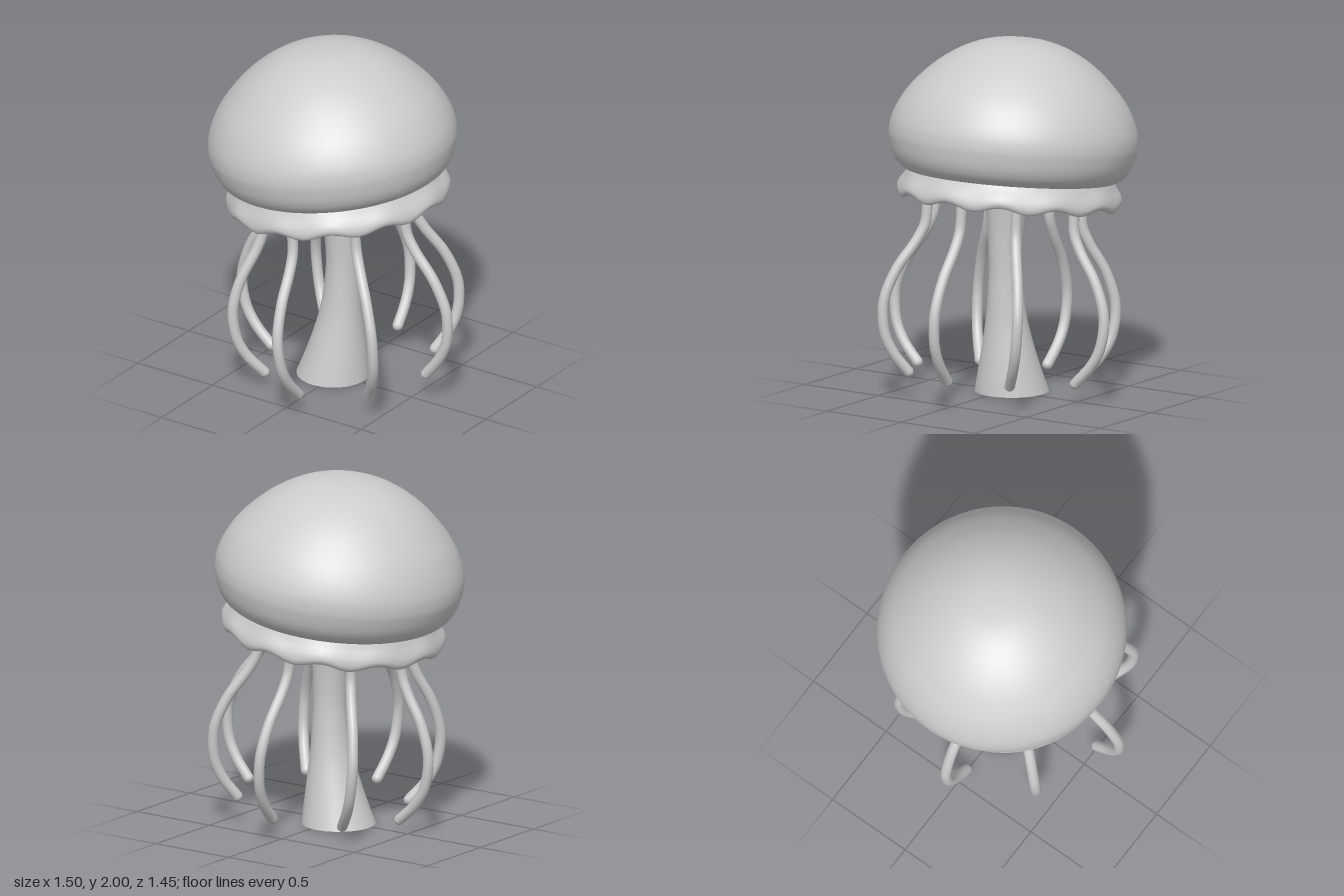
import * as THREE from 'three';
import { mergeGeometries } from 'three/addons/utils/BufferGeometryUtils.js';

const material = new THREE.MeshStandardMaterial({ color: 0xcccccc, roughness: 0.6 });
const thinMaterial = material.clone();
thinMaterial.side = THREE.DoubleSide;

function named(name, geometry, mat = material) {
  const mesh = new THREE.Mesh(geometry, mat);
  mesh.name = name;
  return mesh;
}

// Revolves a smooth curve through [radius, height] points, listed bottom to top on the outside
function revolve(points, steps, segments) {
  const curve = new THREE.SplineCurve(points.map(([r, y]) => new THREE.Vector2(r, y)));
  const profile = curve.getPoints(steps);
  profile.forEach((p) => { p.x = Math.max(p.x, 0); });
  return new THREE.LatheGeometry(profile, segments);
}

// Moves every vertex by a rule
function deform(geometry, rule) {
  const pos = geometry.attributes.position;
  const v = new THREE.Vector3();
  for (let i = 0; i < pos.count; i++) {
    rule(v.fromBufferAttribute(pos, i));
    pos.setXYZ(i, v.x, v.y, v.z);
  }
  geometry.computeVertexNormals();
  return geometry;
}

// Tilted cap: rounded bell, wavy frill and hollow underside
function createCap() {
  const cap = new THREE.Group();
  cap.name = 'cap';
  cap.position.set(-0.025, 1.22, -0.03);
  cap.rotation.z = 0.125;

  cap.add(named('bell', revolve([
    [0.555, 0], [0.595, 0.012], [0.64, 0.045], [0.673, 0.1], [0.692, 0.17], [0.697, 0.22],
    [0.688, 0.29], [0.65, 0.385], [0.58, 0.49], [0.45, 0.62], [0.3, 0.715], [0.15, 0.765], [0, 0.777],
  ], 48, 64)));

  // The frill waves twelve times around, more strongly toward its lower edge
  const frill = revolve([
    [0.545, 0.03], [0.555, -0.04], [0.575, -0.085], [0.595, -0.125], [0.613, -0.133],
    [0.626, -0.11], [0.622, -0.08], [0.608, -0.05], [0.59, -0.02], [0.565, 0.03],
  ], 30, 96);
  deform(frill, (v) => {
    const strength = THREE.MathUtils.clamp(-v.y / 0.12, 0, 1);
    const wave = Math.cos(12 * Math.atan2(v.z, v.x)) * strength;
    v.x *= 1 + 0.006 * wave;
    v.z *= 1 + 0.006 * wave;
    v.y += 0.016 * wave;
  });
  cap.add(named('frill', frill, thinMaterial));

  cap.add(named('underside', revolve([
    [0.56, 0], [0.53, 0.06], [0.45, 0.125], [0.3, 0.2], [0.15, 0.24], [0, 0.25],
  ], 20, 64), thinMaterial));
  return cap;
}

// Flared, gently bowed hollow stem
function createStem() {
  const stem = revolve([
    [0.207, 0], [0.159, 0.2], [0.119, 0.4], [0.098, 0.6], [0.094, 0.75],
    [0.107, 0.95], [0.138, 1.15], [0.185, 1.45],
  ], 40, 48);
  deform(stem, (v) => {
    v.x += -0.042 + 0.175 * v.y - 0.125 * v.y * v.y;
    v.z -= 0.025;
  });
  return named('stem', stem, thinMaterial);
}

// One curved tentacle with rounded ends, hanging from the height y = 0
function tentacleGeometry(reach) {
  const radius = 0.03;
  const path = new THREE.CatmullRomCurve3([
    [0.45, 0.1], [0.455, -0.12], [0.46, -0.27], [0.505, -0.37], [0.612, -0.53],
    [0.675, -0.69], [0.682, -0.79], [0.66, -0.91], [0.605, -1.01], [0.515, -1.11],
  ].map(([r, y]) => new THREE.Vector3(r * reach, y, 0)));

  const pieces = [new THREE.TubeGeometry(path, 56, radius, 14)];
  for (const t of [0, 1]) {
    const end = path.getPoint(t);
    pieces.push(new THREE.SphereGeometry(radius, 14, 10).translate(end.x, end.y, end.z));
  }
  return mergeGeometries(pieces);
}

// Slightly uneven ring of eight tentacles
function createTentacles() {
  const ring = new THREE.Group();
  ring.name = 'tentacles';
  // [angle in degrees from +x toward -z, reach]
  const layout = [
    [2.5, 1], [43.4, 0.955], [92, 1.01], [137.5, 0.97],
    [181, 0.99], [226, 0.92], [272.5, 1.01], [318.4, 0.98],
  ];
  for (const [degrees, reach] of layout) {
    const tentacle = named('tentacle', tentacleGeometry(reach));
    tentacle.rotation.y = THREE.MathUtils.degToRad(degrees);
    ring.add(tentacle);
  }
  ring.position.set(-0.025, 1.22, 0);
  ring.rotation.z = 0.086;
  return ring;
}

export function createModel() {
  const model = new THREE.Group();
  model.name = 'jellyfish';
  model.add(createCap(), createStem(), createTentacles());
  return model;
}
